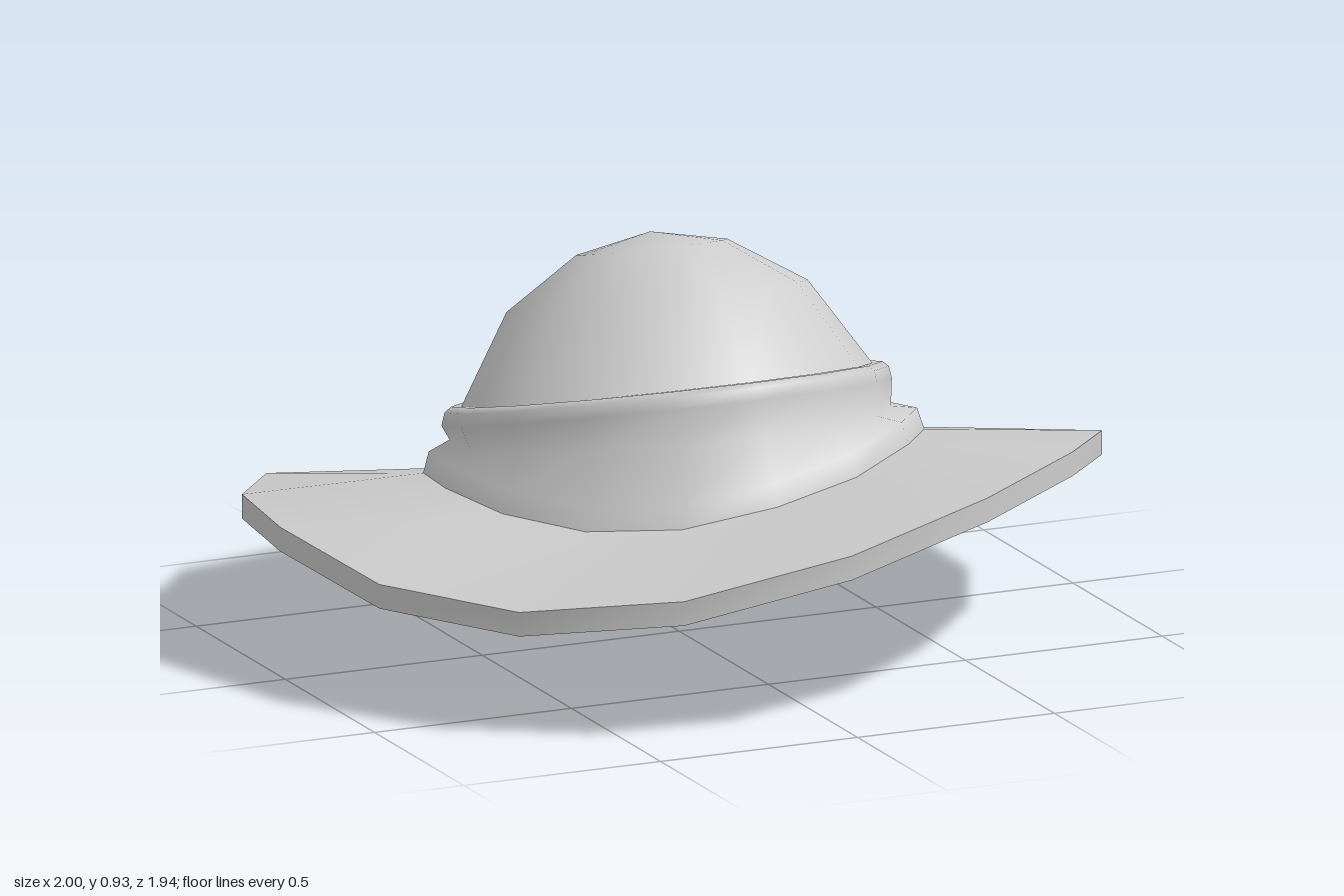
import * as THREE from 'three';
import { mergeVertices } from 'three/addons/utils/BufferGeometryUtils.js';

const N = 16;
const range = [...Array(N).keys()];
const angle = (i) => (i * Math.PI * 2) / N;

// Ring of points starting at the front and going towards +x; height(x, z, i)
const ring = (rx, rz, cz, height) => range.map((i) => {
  const x = rx * Math.sin(angle(i)), z = cz + rz * Math.cos(angle(i));
  return [x, height(x, z, i), z];
});

// Smooth surface through a stack of closed rings
function loft(rings) {
  const index = [];
  for (let r = 0; r < rings.length - 1; r++) {
    for (let i = 0; i < N; i++) {
      const a = r * N + i, b = r * N + ((i + 1) % N);
      index.push(a, b, b + N, a, b + N, a + N);
    }
  }
  let geo = new THREE.BufferGeometry();
  geo.setAttribute('position', new THREE.Float32BufferAttribute(rings.flat(2), 3));
  geo.setIndex(index);
  geo = mergeVertices(geo);
  geo.computeVertexNormals();
  return geo;
}

// Crown ring in the plane of the dome, which leans back
const TILT = Math.atan(0.268);
const domeRing = (r, h) => range.map((i) => {
  const u = r * Math.cos(angle(i));
  return [
    r * Math.sin(angle(i)) * 0.985,
    0.575 + u * Math.sin(TILT) + h * Math.cos(TILT),
    -0.07 + u * Math.cos(TILT) - h * Math.sin(TILT),
  ];
});

// Top edge of the wavy brim, from the front towards +x
const BRIM = [
  [0, 0.43, 0.97], [0.38, 0.505, 0.89], [0.7, 0.52, 0.66], [0.92, 0.465, 0.34],
  [1, 0.36, -0.03], [0.93, 0.225, -0.4], [0.71, 0.115, -0.66], [0.4, 0.06, -0.84],
  [0, 0.075, -0.97], [-0.36, 0.14, -0.97], [-0.69, 0.26, -0.79], [-0.92, 0.33, -0.42],
  [-1, 0.36, -0.03], [-0.92, 0.31, 0.35], [-0.71, 0.3, 0.67], [-0.39, 0.345, 0.89],
];
// Height of the line where the band meets the brim
const SEAM = [
  0.44, 0.475, 0.5, 0.475, 0.42, 0.355, 0.305, 0.275,
  0.265, 0.285, 0.33, 0.38, 0.405, 0.395, 0.385, 0.4,
];

export function createModel() {
  const group = new THREE.Group();
  const felt = new THREE.MeshStandardMaterial({ color: 0xcccccc, side: THREE.DoubleSide });
  felt.name = 'pale grey felt';
  const add = (name, rings) => {
    const mesh = new THREE.Mesh(loft(rings), felt);
    mesh.name = name;
    group.add(mesh);
  };

  // Brim: top, rim and underside with the head opening
  const brimBottom = BRIM.map(([x, y, z]) => [x, y - 0.058, z]);
  const seam = ring(0.575, 0.575, -0.03, (x, z, i) => SEAM[i]);
  const opening = ring(0.45, 0.46, -0.06, (x, z) => 0.3 + 0.11 * (z + 0.06));
  add('brimTop', [BRIM, seam]);
  add('brimRim', [brimBottom, BRIM]);
  add('brimUnderside', [opening, brimBottom]);

  // Band wrapped around the crown, flaring out at its foot
  const foot = ring(0.58, 0.58, -0.03, (x, z, i) => SEAM[i]);
  const flare = ring(0.565, 0.565, -0.035, (x, z, i) => SEAM[i] + 0.05);
  const waist = ring(0.51, 0.515, -0.05, (x, z) => 0.49 + 0.185 * (z + 0.05));
  const lip = (r, y) => ring(r, r - 0.005, -0.07, (x, z) => y + 0.262 * (z + 0.07));
  add('band', [foot, flare, waist, lip(0.522, 0.535), lip(0.515, 0.565), lip(0.5, 0.578), lip(0.47, 0.575)]);

  // Crown dome and its lining, which runs down to the opening
  const profile = [[0.485, 0], [0.355, 0.208], [0.178, 0.322], [0, 0.358]];
  add('crown', profile.map(([r, h]) => domeRing(r, h)));
  const lining = profile.map(([r, h]) => domeRing(r * 0.96, h * 0.95)).reverse();
  add('lining', [...lining, opening]);

  return group;
}
